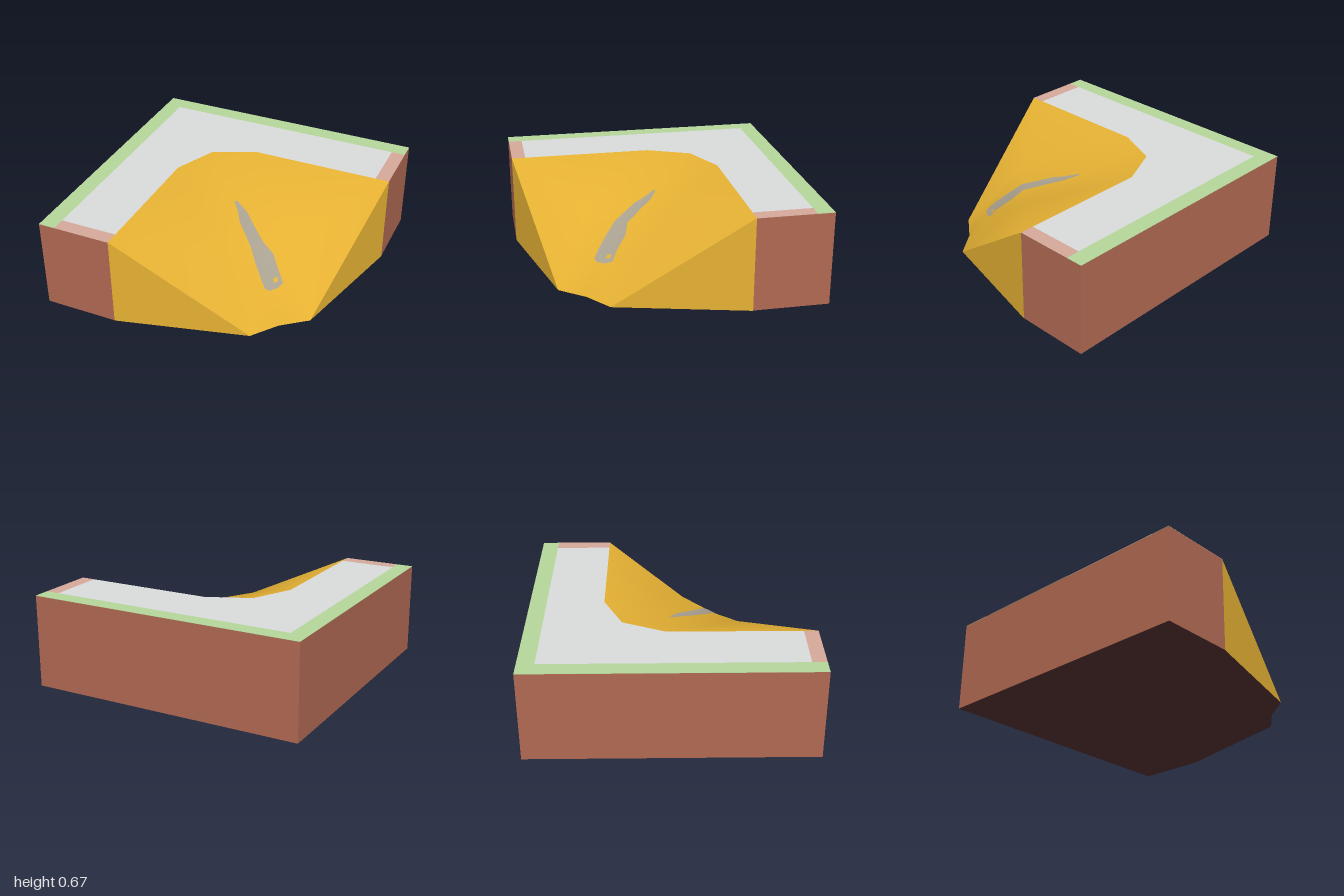
import * as THREE from 'three';

const H = 0.665;      // height of the plateau
const PLATE = 0.002;  // thickness of the ground covers

const material = (name, color, side = THREE.FrontSide) => {
  const m = new THREE.MeshStandardMaterial({ color, side });
  m.name = name;
  return m;
};

// Flat slab from a ground outline of [x, z] points, standing on y0
function slab(outline, y0, height) {
  const shape = new THREE.Shape(outline.map(([x, z]) => new THREE.Vector2(x, -z)));
  const g = new THREE.ExtrudeGeometry(shape, { depth: height, bevelEnabled: false });
  return g.rotateX(-Math.PI / 2).translate(0, y0, 0);
}

// Indexed surface; with faceUp every triangle is turned to face upwards
function surface(points, triangles, faceUp) {
  const index = triangles.flatMap(([a, b, c]) => {
    const [p, q, r] = [points[a], points[b], points[c]];
    const ny = (q[2] - p[2]) * (r[0] - p[0]) - (q[0] - p[0]) * (r[2] - p[2]);
    return faceUp && ny < 0 ? [a, c, b] : [a, b, c];
  });
  const g = new THREE.BufferGeometry();
  g.setAttribute('position', new THREE.Float32BufferAttribute(points.flat(), 3));
  g.setIndex(index);
  g.computeVertexNormals();
  return g;
}

// Height of a triangulated surface above (x, z)
function heightAt(points, triangles, x, z) {
  for (const [i, j, k] of triangles) {
    const [a, b, c] = [points[i], points[j], points[k]];
    const d = (b[2] - c[2]) * (a[0] - c[0]) + (c[0] - b[0]) * (a[2] - c[2]);
    const u = ((b[2] - c[2]) * (x - c[0]) + (c[0] - b[0]) * (z - c[2])) / d;
    const v = ((c[2] - a[2]) * (x - c[0]) + (a[0] - c[0]) * (z - c[2])) / d;
    if (u >= -1e-6 && v >= -1e-6 && u + v <= 1 + 1e-6) return u * a[1] + v * b[1] + (1 - u - v) * c[1];
  }
  return 0;
}

export function createModel() {
  const model = new THREE.Group();
  model.name = 'cornerTerrainTile';
  const dirt = material('dirt', 0xb06952);
  const darkDirt = material('darkDirt', 0x533033);
  const paleDirt = material('paleDirt', 0xd5a99b);
  const grass = material('grass', 0xb4d69b);
  const paving = material('paving', 0xdadcdc);
  const sand = material('sand', 0xe5b133);
  const stone = material('stone', 0xa9a190, THREE.DoubleSide);
  const add = (name, geometry, mat) => {
    const mesh = new THREE.Mesh(geometry, mat);
    mesh.name = name;
    model.add(mesh);
  };

  // Plateau, an L with a chamfered inner corner
  const back = [[-1, 1], [-1, -1], [1, -1]];
  const rim = [[1, -0.47], [-0.03, -0.47], [-0.335, -0.335], [-0.47, -0.03], [-0.47, 1]];
  add('plateau', slab([...back, ...rim], PLATE, H - 2 * PLATE), dirt);

  // Ground covers
  const cover = (name, outline, mat) => add(name, slab(outline, H - PLATE, PLATE), mat);
  cover('grassBorder', [...back, [1, -0.88], [-0.88, -0.88], [-0.88, 1]], grass);
  cover('pavedPath', [[-0.88, 0.9], [-0.88, -0.88], [0.9, -0.88], [0.9, -0.47],
    ...rim.slice(1, 4), [-0.47, 0.9]], paving);
  cover('rightPathEnd', [[0.9, -0.88], [1, -0.88], [1, -0.47], [0.9, -0.47]], paleDirt);
  cover('frontPathEnd', [[-0.88, 0.9], [-0.47, 0.9], [-0.47, 1], [-0.88, 1]], paleDirt);

  // Sand slope, mirrored across the diagonal x = z
  const half = [[-0.47, H, 1], [-0.47, H, -0.03], [0.1, 0.43, 0.5], [0.45, 0, 0.77]];
  const spine = [[-0.335, H, -0.335], [0, 0.515, 0], [0.3, 0.405, 0.3], [0.49, 0.205, 0.49], [0.59, 0, 0.59]];
  const points = [...half, ...spine, ...half.map(([x, y, z]) => [z, y, x])];
  const wing = [[0, 1, 2], [1, 4, 5], [1, 5, 2], [5, 6, 2], [6, 7, 2], [2, 7, 3], [7, 8, 3], [0, 2, 3]];
  const mirrored = wing.map(t => t.map(i => (i < 4 ? i + 9 : i)));
  const triangles = [...wing, ...mirrored];
  const slope = surface(points, triangles, true);

  // Soften the rim, where the slope blends into the level ground
  const normals = slope.attributes.normal;
  points.forEach(([, y], i) => {
    if (y !== H) return;
    const n = new THREE.Vector3().fromBufferAttribute(normals, i);
    n.y += 1;
    n.normalize();
    normals.setXYZ(i, n.x, n.y, n.z);
  });
  add('sandSlope', slope, sand);

  // Upright sand faces at both ends of the slope
  add('rightSandSide', surface([[1, 0, -0.47], [1, H, -0.47], [0.77, 0, 0.45]], [[0, 1, 2]]), sand);
  add('frontSandSide', surface([[-0.47, 0, 1], [0.45, 0, 0.77], [-0.47, H, 1]], [[0, 1, 2]]), sand);

  // Underside
  const base = new THREE.ShapeGeometry(new THREE.Shape(
    [...back, rim[0], [0.77, 0.45], [0.59, 0.59], [0.45, 0.77], rim[4]].map(([x, z]) => new THREE.Vector2(x, z))));
  add('underside', base.rotateX(Math.PI / 2), darkDirt);

  // Stone streak draped down the slope: rows of left [x, z], right [x, z]
  const rows = [
    [0, 0.01, 0.02, 0], [0.07, 0.1, 0.12, 0.06], [0.11, 0.17, 0.2, 0.14], [0.27, 0.34, 0.33, 0.26],
    [0.34, 0.415, 0.42, 0.29], [0.41, 0.48, 0.49, 0.36], [0.45, 0.51, 0.54, 0.4], [0.485, 0.5, 0.52, 0.455],
  ];
  const streak = [];
  const streakFaces = [];
  rows.forEach(([lx, lz, rx, rz], i) => {
    const t = (lz - lx) / (lz - lx - rz + rx);   // where the row crosses the diagonal
    const mid = lx + (rx - lx) * t;
    for (const [x, z] of [[lx, lz], [mid, mid], [rx, rz]]) {
      streak.push([x, heightAt(points, triangles, x, z) + 0.006, z]);
    }
    if (i === 0) return;
    for (const k of [0, 1]) {
      const a = 3 * (i - 1) + k, b = 3 * i + k;
      streakFaces.push([a, b, b + 1], [a, b + 1, a + 1]);
    }
  });
  add('stoneStreak', surface(streak, streakFaces, true), stone);

  return model;
}
